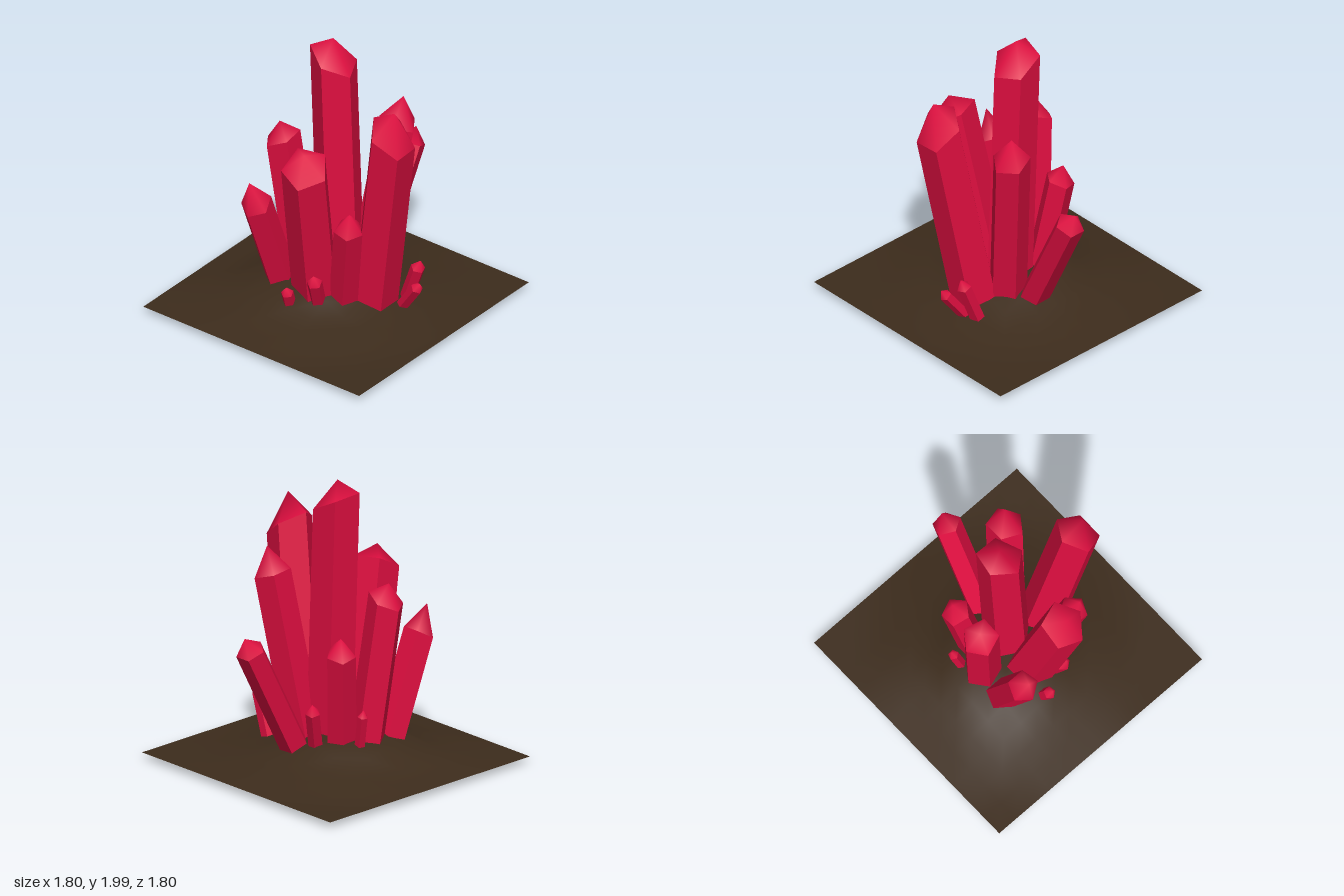
import * as THREE from 'three';

const BASE_Y = 0.045;
const crystalMaterial = new THREE.MeshStandardMaterial({ color: 0xdc0e3f });
const groundMaterial = new THREE.MeshStandardMaterial({ color: 0x3d2c1c, side: THREE.DoubleSide });

function geometryFrom(points, index) {
  const g = new THREE.BufferGeometry().setFromPoints(points);
  if (index) g.setIndex(index);
  g.computeVertexNormals();
  return g;
}

// Five-sided prism around a leaning axis, cut by a sloping shoulder and closed by a pointed cap
// base: x, z; shoulder: centre; tipRise: cap height along the axis; slope: shoulder dy/dx, dy/dz
function createCrystal(name, base, shoulder, tipRise, radius, startAngle, slope) {
  const b = new THREE.Vector3(base[0], BASE_Y, base[1]);
  const s = new THREE.Vector3(...shoulder);
  const axis = s.clone().sub(b).normalize();
  const tip = s.clone().addScaledVector(axis, tipRise);
  const u = new THREE.Vector3(1, 0, 0).addScaledVector(axis, -axis.x).normalize();
  const v = u.clone().cross(axis);
  const lower = [], upper = [];
  for (let i = 0; i < 5; i++) {
    const a = THREE.MathUtils.degToRad(startAngle + i * 72);
    const p = u.clone().multiplyScalar(radius * Math.cos(a)).addScaledVector(v, radius * Math.sin(a));
    lower.push(b.clone().add(p));
    // slide the corner along the axis onto the shoulder plane
    const k = (slope[0] * p.x + slope[1] * p.z - p.y) / (axis.y - slope[0] * axis.x - slope[1] * axis.z);
    upper.push(s.clone().add(p).addScaledVector(axis, k));
  }
  const faces = [], capIndex = [];
  for (let i = 0; i < 5; i++) {
    const j = (i + 1) % 5;
    faces.push(lower[i], upper[i], upper[j], lower[i], upper[j], lower[j], b, lower[i], lower[j]);
    capIndex.push(5, j, i);
  }
  const group = new THREE.Group();
  group.name = name;
  const shaft = new THREE.Mesh(geometryFrom(faces), crystalMaterial);
  shaft.name = 'shaft';
  const cap = new THREE.Mesh(geometryFrom([...upper, tip], capIndex), crystalMaterial);
  cap.name = 'cap';
  group.add(shaft, cap);
  return group;
}

// Small crystal with a square-cut shoulder just below its tip
function createShard(name, base, tip, radius) {
  const t = new THREE.Vector3(...tip);
  const lean = t.clone().sub(new THREE.Vector3(base[0], BASE_Y, base[1]));
  const tipRise = radius * 1.4;
  const shoulder = t.addScaledVector(lean.clone().normalize(), -tipRise);
  return createCrystal(name, base, shoulder.toArray(), tipRise, radius, 18, [-lean.x / lean.y, -lean.z / lean.y]);
}

// Square sheet of earth rising to a low mound under the cluster
function createGround() {
  const g = new THREE.PlaneGeometry(1.8, 1.8, 12, 12).rotateX(-Math.PI / 2);
  const pos = g.attributes.position;
  const { clamp } = THREE.MathUtils;
  for (let i = 0; i < pos.count; i++) {
    const x = pos.getX(i), z = pos.getZ(i);
    const edge = clamp(1 - Math.max(Math.abs(x), Math.abs(z)) / 0.9, 0, 1);
    const r = Math.hypot(x + 0.09, z - 0.03);
    const skirt = 0.09 * clamp((0.9 - r) / 0.45, 0, 1);
    const mound = 0.1 * clamp((0.46 - r) / 0.16, 0, 1);
    pos.setY(i, 0.055 + Math.min(skirt, edge * 0.18) + mound);
  }
  g.computeVertexNormals();
  const ground = new THREE.Mesh(g, groundMaterial);
  ground.name = 'ground';
  return ground;
}

export function createModel() {
  const model = new THREE.Group();
  model.name = 'crystalCluster';
  model.add(createGround());

  // Large crystals
  model.add(
    createCrystal('tallCrystal', [0.03, -0.03], [-0.04, 1.85, -0.03], 0.15, 0.16, 12, [-0.5, 0.05]),
    createCrystal('rightCrystal', [0.29, -0.02], [0.535, 1.51, 0.09], 0.21, 0.16, 36, [-0.75, -0.05]),
    createCrystal('frontCrystal', [-0.01, 0.18], [0.09, 1.27, 0.44], 0.12, 0.16, 0, [-0.25, -0.55]),
    createCrystal('frontLeaningCrystal', [-0.265, 0.18], [-0.295, 0.87, 0.47], 0.2, 0.108, 90, [0, -0.6]),
    createCrystal('sideCrystal', [-0.24, 0.02], [-0.355, 1.2, 0.12], 0.12, 0.125, 180, [0.4, -0.2]),
    createCrystal('backSideCrystal', [-0.16, -0.1], [-0.27, 0.88, -0.21], 0.12, 0.1, 0, [0.3, 0.2]),
    createCrystal('backCrystal', [0.13, -0.13], [0.27, 1.34, -0.32], 0.19, 0.13, 0, [-0.3, 0.1]),
    createCrystal('backLeaningCrystal', [0.05, -0.25], [0.085, 0.93, -0.69], 0.11, 0.1, 90, [0, 0.5]),
    createCrystal('frontRightCrystal', [0.16, 0.13], [0.325, 0.81, 0.28], 0.15, 0.1, 60, [-0.2, -0.2]),
  );

  // Shards around the foot of the cluster
  model.add(
    createShard('rightShardTall', [0.42, -0.19], [0.575, 0.455, -0.165], 0.05),
    createShard('rightShardShort', [0.43, -0.11], [0.655, 0.355, -0.06], 0.042),
    createShard('backShard', [-0.06, -0.22], [-0.165, 0.54, -0.37], 0.05),
    createShard('sideShard', [-0.29, -0.08], [-0.39, 0.5, -0.12], 0.036),
    createShard('frontShardTall', [0.07, 0.25], [0.14, 0.45, 0.42], 0.053),
    createShard('frontShardShort', [-0.08, 0.36], [-0.04, 0.325, 0.48], 0.043),
  );
  return model;
}
